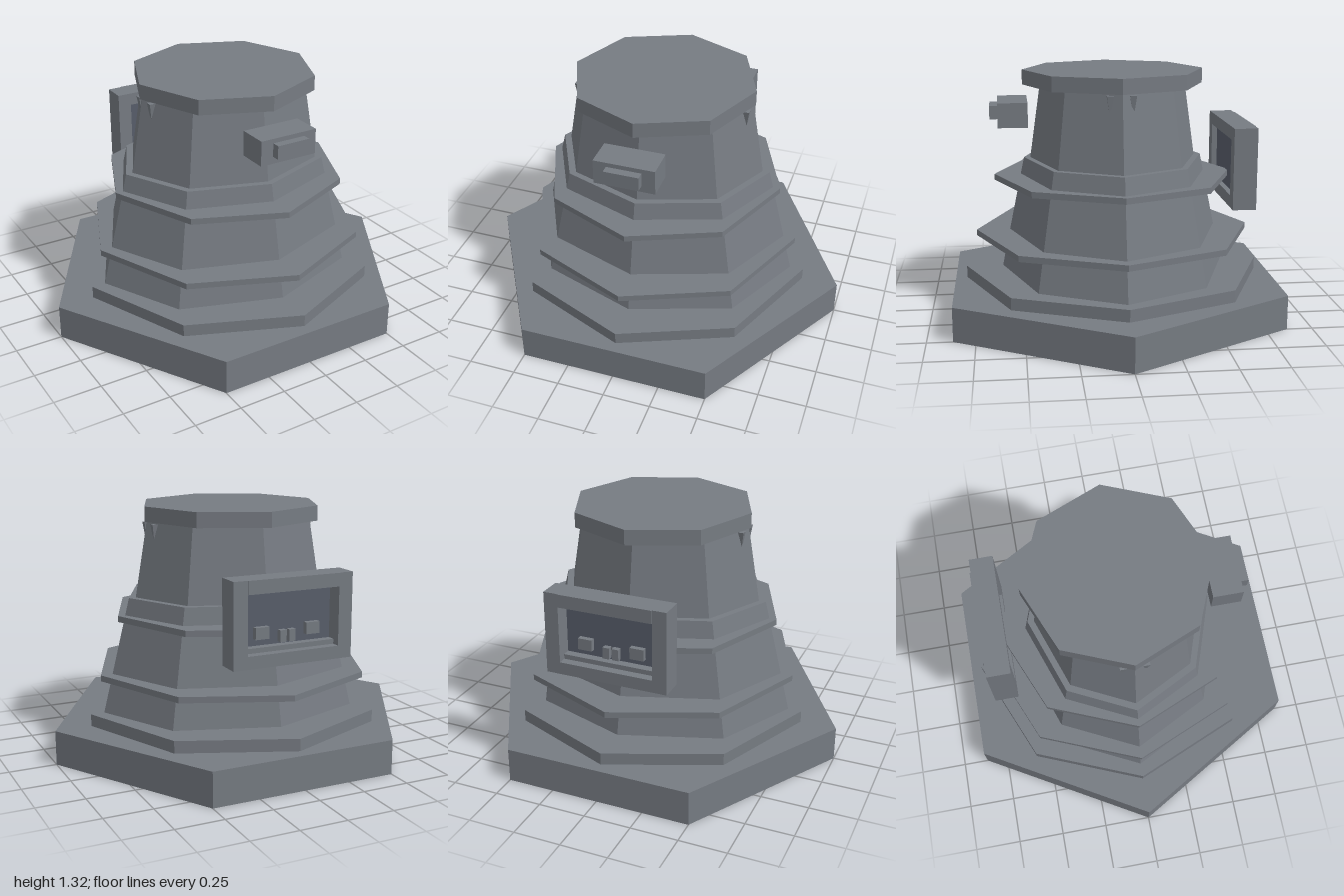
import * as THREE from 'three';

export function createModel() {
  const model = new THREE.Group();
  const stone = new THREE.MeshStandardMaterial({ color: 0x767b82, flatShading: true });
  stone.name = 'grey metal';
  const dark = new THREE.MeshStandardMaterial({ color: 0x585e6b, flatShading: true });
  dark.name = 'dark panel';

  const add = (name, geometry, material = stone, parent = model) => {
    const mesh = new THREE.Mesh(geometry, material);
    mesh.name = name;
    parent.add(mesh);
    return mesh;
  };
  // Upright prism or frustum between two heights, optionally flattened in z
  const prism = (name, rBottom, rTop, y0, y1, sides = 8, depth = 1) => {
    const g = new THREE.CylinderGeometry(rTop, rBottom, y1 - y0, sides);
    if (sides === 6) g.rotateY(Math.PI / 2);
    g.scale(1, 1, depth);
    g.translate(0, (y0 + y1) / 2, 0);
    return add(name, g);
  };
  // Box given by its limits on each axis
  const box = (name, x0, x1, y0, y1, z0, z1, parent, material) => {
    const g = new THREE.BoxGeometry(x1 - x0, y1 - y0, z1 - z0);
    g.translate((x0 + x1) / 2, (y0 + y1) / 2, (z0 + z1) / 2);
    return add(name, g, material, parent);
  };

  // Tower body
  prism('hexagonalBase', 1, 1, 0, 0.183, 6);
  prism('footPlate', 0.805, 0.805, 0.183, 0.247);
  prism('lowerTier', 0.732, 0.58, 0.247, 0.85, 8, 0.83);
  prism('lowerRing', 0.745, 0.745, 0.42, 0.452);
  prism('upperRing', 0.642, 0.642, 0.728, 0.76);
  prism('upperTier', 0.542, 0.474, 0.85, 1.243, 8, 0.825);
  prism('cap', 0.485, 0.485, 1.243, 1.322);

  // Front sensor
  const sensor = new THREE.Group();
  sensor.name = 'frontSensor';
  model.add(sensor);
  box('sensorHousing', -0.158, 0.158, 1.035, 1.165, 0.46, 0.618, sensor);
  box('sensorLens', -0.09, 0.09, 1.072, 1.142, 0.618, 0.66, sensor);

  // Rear console: frame, recessed panel, shelf and knobs
  const consoleGroup = new THREE.Group();
  consoleGroup.name = 'rearConsole';
  model.add(consoleGroup);
  box('frameTop', -0.25, 0.25, 0.97, 1.038, -0.73, -0.6, consoleGroup);
  box('frameBottom', -0.25, 0.25, 0.605, 0.67, -0.725, -0.6, consoleGroup);
  for (const s of [-1, 1]) {
    box('frameSide', s * 0.2875 - 0.0375, s * 0.2875 + 0.0375, 0.605, 1.038, -0.725, -0.6, consoleGroup);
  }
  box('screenPanel', -0.25, 0.25, 0.67, 0.97, -0.637, -0.63, consoleGroup, dark);
  box('shelf', -0.25, 0.25, 0.67, 0.695, -0.68, -0.637, consoleGroup);
  for (const [x, y, w] of [[-0.14, 0.76, 0.075], [-0.025, 0.735, 0.035], [0.025, 0.735, 0.035], [0.14, 0.76, 0.075]]) {
    box('knob', x - w / 2, x + w / 2, y - 0.03, y + 0.03, -0.665, -0.637, consoleGroup);
  }

  // Small spikes hanging under the cap on both sides
  for (const sx of [-1, 1]) {
    for (const z of [-0.055, 0.06]) {
      const g = new THREE.ConeGeometry(0.024, 0.12, 4);
      g.rotateX(Math.PI);
      g.rotateY(Math.PI / 4);
      add('spike', g).position.set(sx * 0.452, 1.175, z);
    }
  }
  return model;
}
